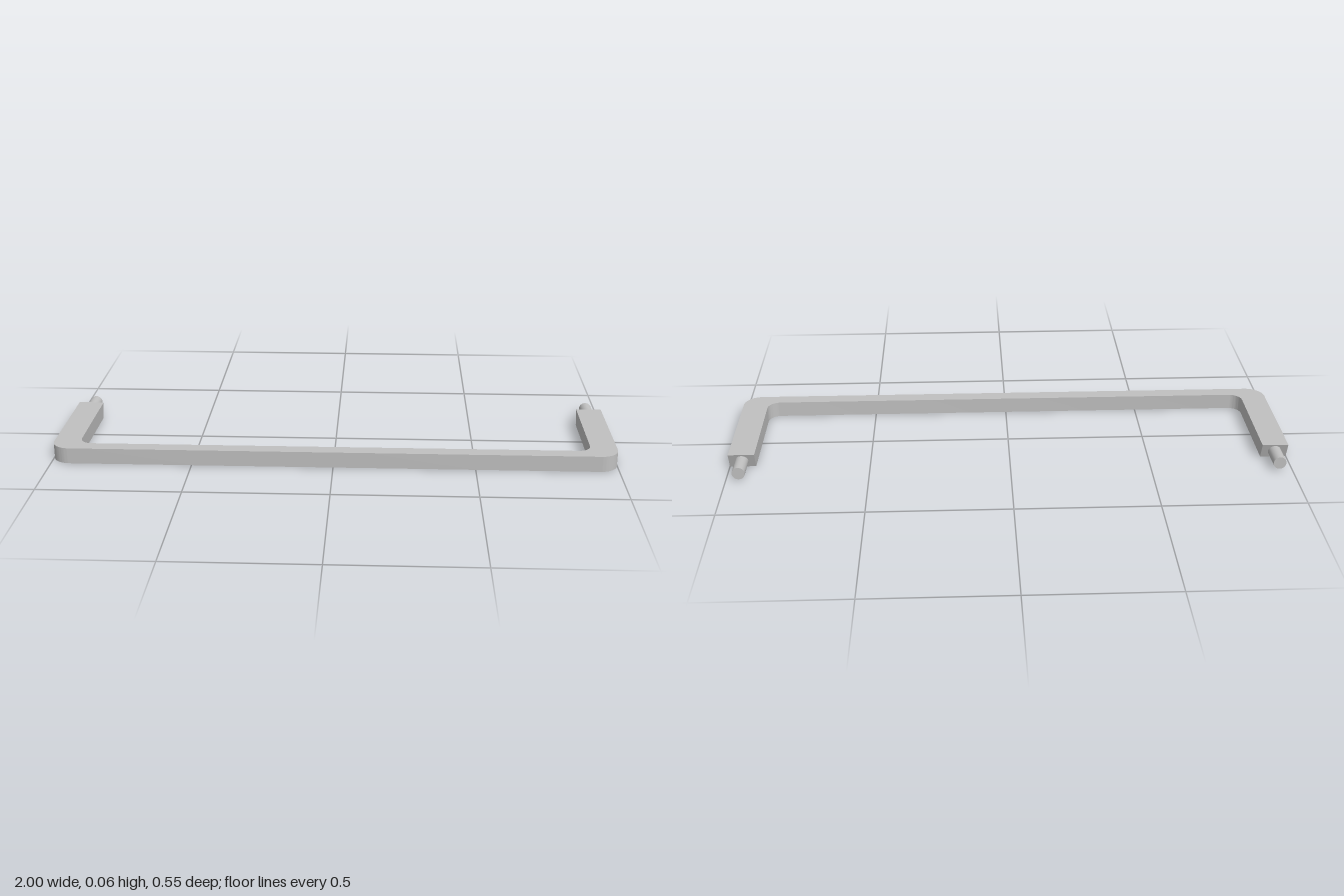
import * as THREE from 'three';
import { toCreasedNormals } from 'three/addons/utils/BufferGeometryUtils.js';

export function createModel() {
  const model = new THREE.Group();
  model.name = 'pullHandle';
  const metal = new THREE.MeshStandardMaterial({ color: 0xc0c0c0 });
  metal.name = 'satin metal';

  const height = 0.057, front = 0.273, back = -0.19, undercut = 0.02;
  const outerX = 1, innerX = 0.907, innerZ = 0.222;
  const outerR = 0.065, innerR = 0.045;

  // U-shaped bar outline, drawn with shape y = -z
  const s = new THREE.Shape();
  s.moveTo(-outerX, -back);
  s.lineTo(-outerX, -front + outerR);
  s.absarc(-outerX + outerR, -front + outerR, outerR, Math.PI, Math.PI * 1.5, false);
  s.absarc(outerX - outerR, -front + outerR, outerR, Math.PI * 1.5, Math.PI * 2, false);
  s.lineTo(outerX, -back);
  s.lineTo(innerX, -back);
  s.lineTo(innerX, -innerZ + innerR);
  s.absarc(innerX - innerR, -innerZ + innerR, innerR, 0, -Math.PI / 2, true);
  s.absarc(-innerX + innerR, -innerZ + innerR, innerR, -Math.PI / 2, -Math.PI, true);
  s.lineTo(-innerX, -back);
  s.closePath();

  const barGeo = new THREE.ExtrudeGeometry(s, { depth: height, bevelEnabled: false, curveSegments: 14 });
  barGeo.rotateX(-Math.PI / 2);

  // Slant the leg ends: the lower edge sits further forward
  const p = barGeo.attributes.position;
  for (let i = 0; i < p.count; i++) {
    if (p.getZ(i) < back + 0.001 && p.getY(i) < height / 2) p.setZ(i, back + undercut);
  }
  const bar = new THREE.Mesh(toCreasedNormals(barGeo, 0.5), metal);
  bar.name = 'handleBar';
  model.add(bar);

  // Round mounting pins at the leg ends
  const pinStart = -0.15, pinEnd = -0.273;
  for (const side of [-1, 1]) {
    const pinGeo = new THREE.CylinderGeometry(0.0228, 0.0228, pinStart - pinEnd, 40);
    pinGeo.rotateX(Math.PI / 2);
    const pin = new THREE.Mesh(pinGeo, metal);
    pin.name = side > 0 ? 'leftPin' : 'rightPin';
    pin.position.set(side * 0.9535, height / 2 + 0.0005, (pinStart + pinEnd) / 2);
    model.add(pin);
  }
  return model;
}
